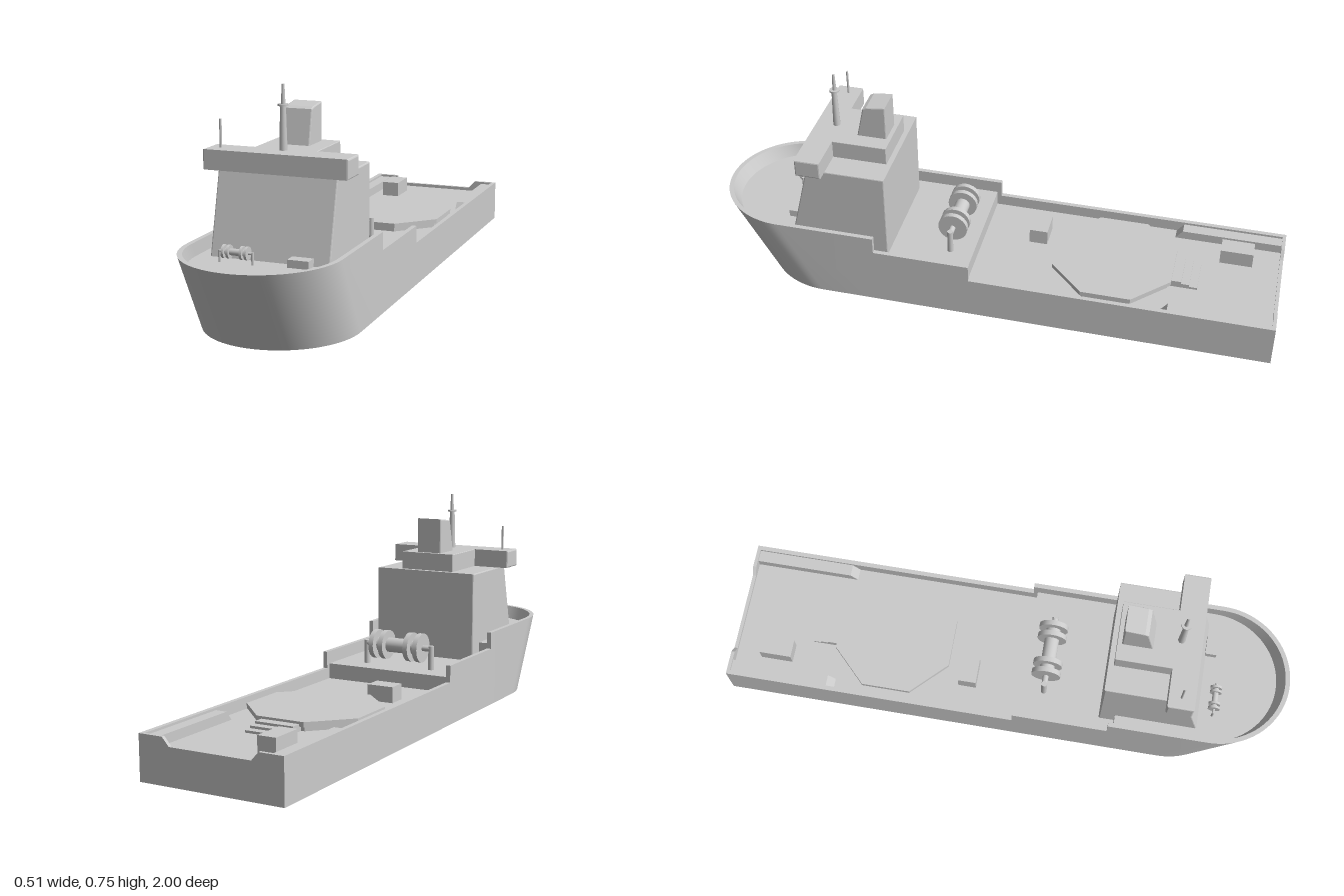
import * as THREE from 'three';
import { toCreasedNormals } from 'three/addons/utils/BufferGeometryUtils.js';

const mat = new THREE.MeshStandardMaterial({ color: 0xcccccc });
const HALF = 0.256, WALL = 0.016, BOW_Z = 0.74, BOW_L = 0.26, RAKE = 0.15 / 0.27, TOP = 0.27;
const MAIN = 0.11, MID = 0.165, FORE = 0.225; // deck heights

function add(parent, name, geometry, x = 0, y = 0, z = 0) {
  const mesh = new THREE.Mesh(geometry, mat);
  mesh.name = name;
  mesh.position.set(x, y, z);
  parent.add(mesh);
  return mesh;
}

// Box given by its limits on each axis
function block(parent, name, x0, x1, y0, y1, z0, z1) {
  return add(parent, name, new THREE.BoxGeometry(x1 - x0, y1 - y0, z1 - z0),
    (x0 + x1) / 2, (y0 + y1) / 2, (z0 + z1) / 2);
}

// Side profile of [z, y] points extruded across x, with a small bevel
function prism(parent, name, profile, x0, x1, bevel = 0) {
  const shape = new THREE.Shape(profile.map(p => new THREE.Vector2(...p)));
  const geo = new THREE.ExtrudeGeometry(shape, {
    depth: x1 - x0 - 2 * bevel, bevelEnabled: bevel > 0, bevelSize: bevel,
    bevelThickness: bevel, bevelOffset: -bevel, bevelSegments: 2,
  });
  geo.rotateY(-Math.PI / 2);
  return add(parent, name, geo, x1 - bevel, 0, 0);
}

const rect = (z0, z1, y0, y1) => [[z0, y0], [z1, y0], [z1, y1], [z0, y1]];

// Hull shell: cross-sections of the side wall swept round the outline
function hullGeometry() {
  const side = [[-1, 0.15], [0.05, 0.15], [0.05, 0.21], [0.39, 0.21], [0.39, TOP]];
  const stations = side.map(([z, top]) => ({ x: 1, z, top }));
  const N = 40;
  for (let i = 0; i <= N; i++) {
    const a = Math.PI * i / N;
    stations.push({ x: Math.cos(a), bow: Math.sin(a), top: TOP });
  }
  side.slice().reverse().forEach(([z, top]) => stations.push({ x: -1, z, top }));
  const ring = stations.map(s => {
    const point = (inset, y) => [s.x * (HALF - inset), y,
      s.bow === undefined ? s.z : BOW_Z + s.bow * (BOW_L - inset) - (TOP - y) * RAKE];
    return [point(0, 0), point(0, s.top), point(WALL, s.top), point(WALL, 0.09)];
  });
  const pos = [];
  for (let i = 0; i < ring.length - 1; i++) {
    for (let j = 0; j < 3; j++) {
      const a = ring[i][j], b = ring[i + 1][j], c = ring[i + 1][j + 1], d = ring[i][j + 1];
      pos.push(...a, ...d, ...c, ...a, ...c, ...b);
    }
    pos.push(0, 0, 0, ...ring[i][0], ...ring[i + 1][0]);
  }
  pos.push(0, 0, 0, ...ring[ring.length - 1][0], ...ring[0][0]);
  const geo = new THREE.BufferGeometry();
  geo.setAttribute('position', new THREE.Float32BufferAttribute(pos, 3));
  return toCreasedNormals(geo, 0.6);
}

// Foredeck plate following the inside of the bow
function foredeckGeometry() {
  const w = HALF - WALL + 0.002, start = BOW_Z - (TOP - FORE) * RAKE;
  const shape = new THREE.Shape([new THREE.Vector2(-w, 0.41), new THREE.Vector2(w, 0.41)]);
  for (let i = 0; i <= 40; i++) {
    const a = Math.PI * i / 40;
    shape.lineTo(w * Math.cos(a), start + (BOW_L - WALL) * Math.sin(a));
  }
  const geo = new THREE.ExtrudeGeometry(shape, { depth: 0.015, bevelEnabled: false });
  return geo.rotateX(Math.PI / 2);
}

// Transom with a lowered middle
function transomGeometry() {
  const pts = [[-HALF, 0], [HALF, 0], [HALF, 0.15], [0.17, 0.15], [0.145, 0.122],
    [-0.145, 0.122], [-0.17, 0.15], [-HALF, 0.15]];
  return new THREE.ExtrudeGeometry(new THREE.Shape(pts.map(p => new THREE.Vector2(...p))),
    { depth: 0.012, bevelEnabled: false });
}

// Winch lying along x: drum, flanges and end posts
function winch(parent, name, o) {
  const g = new THREE.Group();
  g.name = name;
  g.position.set(o.x, o.y, o.z);
  const rod = (part, r, len, x = 0) =>
    add(g, part, new THREE.CylinderGeometry(r, r, len, 24).rotateZ(Math.PI / 2), x, 0, 0);
  rod('winchShaft', o.r * 0.2, o.half * 2);
  rod('winchDrum', o.r * 0.5, o.outer * 2);
  for (const s of [-1, 1]) {
    rod('winchFlange', o.r, o.thick, s * o.inner);
    rod('winchFlange', o.r, o.thick, s * o.outer);
    const h = o.y - o.deck, pw = o.r * 0.2;
    add(g, 'winchPost', new THREE.CylinderGeometry(pw, pw, h + pw, 12), s * o.half, (pw - h) / 2, 0);
  }
  parent.add(g);
}

export function createModel() {
  const ship = new THREE.Group();
  ship.name = 'supplyShip';

  // Hull and stepped decks
  add(ship, 'hull', hullGeometry());
  add(ship, 'transom', transomGeometry(), 0, 0, -1);
  const w = HALF - WALL + 0.002;
  block(ship, 'mainDeck', -w, w, 0.08, MAIN, -0.99, 0.1);
  block(ship, 'midDeck', -w, w, 0.08, MID, 0.065, 0.45);
  block(ship, 'foredeckStep', -w, w, 0.1, FORE - 0.002, 0.41, 0.6);
  add(ship, 'foredeck', foredeckGeometry(), 0, FORE, 0);

  // Stern side lockers with sloped forward ends
  for (const s of [-1, 1]) {
    const [x0, x1] = s > 0 ? [0.198, 0.241] : [-0.241, -0.198];
    prism(ship, 'sternLocker', [[-0.99, 0.1], [-0.61, 0.1], [-0.61, MAIN], [-0.635, 0.142], [-0.99, 0.142]], x0, x1);
  }

  // Octagonal landing pad with its support and steps
  const octagon = (r, h) => new THREE.CylinderGeometry(r, r, h, 8).rotateY(Math.PI / 8).toNonIndexed();
  for (const [name, r, h, y] of [['padSupport', 0.215, 0.02, 0.117], ['landingPad', 0.227, 0.016, 0.134]]) {
    const geo = octagon(r, h);
    geo.computeVertexNormals();
    add(ship, name, geo, 0, y, -0.42);
  }
  for (let i = 0; i < 3; i++) {
    block(ship, 'padStep', -0.07, 0.07, 0.1, 0.118 + i * 0.008, -0.72 + i * 0.028, -0.62);
  }

  // Deck crates and forward hatch
  block(ship, 'aftCrate', -0.16, -0.095, 0.1, 0.165, -0.895, -0.78);
  block(ship, 'forwardCrate', -0.145, -0.05, 0.1, 0.165, -0.165, -0.1);
  block(ship, 'foredeckHatch', 0.075, 0.145, 0.21, 0.25, 0.695, 0.735);

  // Winches
  winch(ship, 'towingWinch', { x: -0.003, y: 0.24, z: 0.147, r: 0.052, half: 0.13, inner: 0.05, outer: 0.088, thick: 0.018, deck: MID - 0.01 });
  winch(ship, 'anchorWinch', { x: -0.087, y: 0.26, z: 0.747, r: 0.021, half: 0.055, inner: 0.022, outer: 0.038, thick: 0.008, deck: FORE - 0.01 });

  // Deckhouse, bridge and funnel
  prism(ship, 'deckhouse', [[0.355, 0.15], [0.715, 0.15], [0.702, 0.21], [0.632, 0.486], [0.355, 0.486]], -0.198, 0.198, 0.004);
  prism(ship, 'bridge', rect(0.565, 0.655, 0.486, 0.55), -0.24, 0.24, 0.005);
  prism(ship, 'bridgeAftHouse', rect(0.373, 0.57, 0.48, 0.55), -0.105, 0.105, 0.002);
  prism(ship, 'funnel', [[0.388, 0.54], [0.495, 0.54], [0.468, 0.662], [0.455, 0.668], [0.388, 0.676]], -0.048, 0.048, 0.004);

  // Mast, crosstree and aerial
  add(ship, 'mastLower', new THREE.CylinderGeometry(0.009, 0.013, 0.145, 12), 0, 0.615, 0.583);
  add(ship, 'mastPlatform', new THREE.CylinderGeometry(0.017, 0.017, 0.006, 16), 0, 0.69, 0.582);
  add(ship, 'mastUpper', new THREE.CylinderGeometry(0.0045, 0.007, 0.064, 12), 0, 0.722, 0.581);
  add(ship, 'aerial', new THREE.CylinderGeometry(0.004, 0.004, 0.095, 10), -0.2, 0.592, 0.608);

  return ship;
}
